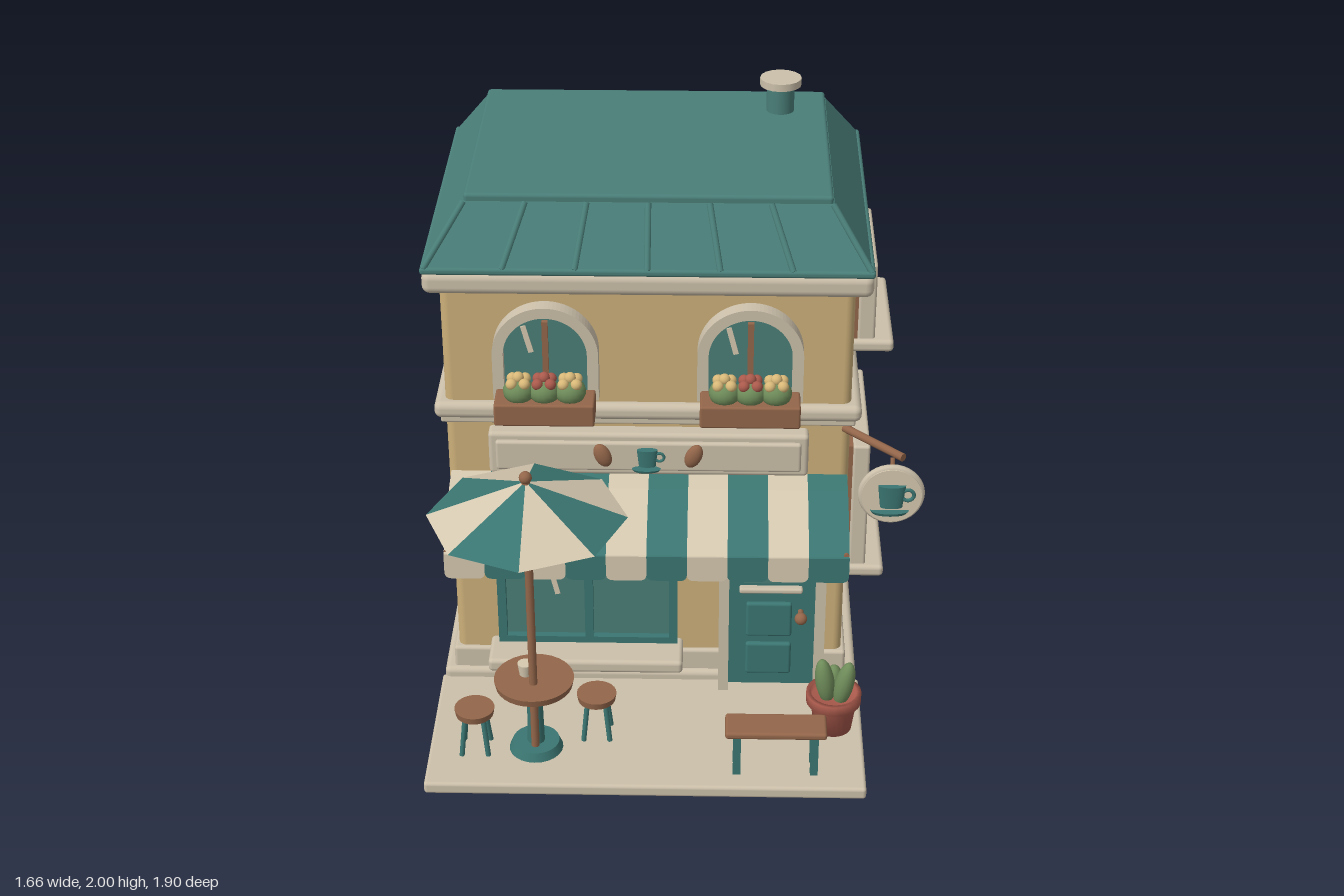
import * as THREE from 'three';
import { RoundedBoxGeometry } from 'three/addons/geometries/RoundedBoxGeometry.js';

const mat = (name, color) => {
  const m = new THREE.MeshStandardMaterial({ color });
  m.name = name;
  return m;
};
const wall = mat('wallOchre', 0xcdb07a), stone = mat('stone', 0xccc0aa), cream = mat('cream', 0xd6c9b0),
  teal = mat('teal', 0x4a7e78), deep = mat('deepTeal', 0x3b7672), brown = mat('wood', 0x93664a),
  clay = mat('terracotta', 0xaa5a4c), green = mat('leafGreen', 0x6f8c5a), yellow = mat('flowerYellow', 0xd8b878);
const canopyTeal = deep.clone();
canopyTeal.side = THREE.DoubleSide;
const canopyCream = cream.clone();
canopyCream.side = THREE.DoubleSide;

function add(parent, name, geo, material, x = 0, y = 0, z = 0) {
  const m = new THREE.Mesh(geo, material);
  m.name = name;
  m.position.set(x, y, z);
  parent.add(m);
  return m;
}
function group(parent, name, x = 0, y = 0, z = 0) {
  const g = new THREE.Group();
  g.name = name;
  g.position.set(x, y, z);
  parent.add(g);
  return g;
}
// box given by its min and max on each axis, with rounded edges when r > 0
function box(p, name, m, x0, x1, y0, y1, z0, z1, r = 0) {
  const s = [x1 - x0, y1 - y0, z1 - z0];
  const geo = r ? new RoundedBoxGeometry(...s, 3, r) : new THREE.BoxGeometry(...s);
  return add(p, name, geo, m, (x0 + x1) / 2, (y0 + y1) / 2, (z0 + z1) / 2);
}
const cyl = (p, name, m, rTop, rBot, y0, y1, x, z, n = 24) =>
  add(p, name, new THREE.CylinderGeometry(rTop, rBot, y1 - y0, n), m, x, (y0 + y1) / 2, z);
function rod(p, name, m, a, b, r) {
  const A = new THREE.Vector3(...a), B = new THREE.Vector3(...b), d = B.clone().sub(A);
  const o = add(p, name, new THREE.CylinderGeometry(r, r, d.length(), 10), m, ...A.clone().add(B).multiplyScalar(0.5));
  o.quaternion.setFromUnitVectors(new THREE.Vector3(0, 1, 0), d.normalize());
  return o;
}
function ball(p, name, m, x, y, z, rx, ry = rx, rz = rx) {
  const o = add(p, name, new THREE.SphereGeometry(1, 16, 12), m, x, y, z);
  o.scale.set(rx, ry, rz);
  return o;
}
const extrude = (shape, depth) => new THREE.ExtrudeGeometry(shape, { depth, bevelEnabled: false, curveSegments: 20 });
function arch(h, y0, spring) {
  const s = new THREE.Shape();
  s.moveTo(h, y0).lineTo(h, spring).absarc(0, spring, h, 0, Math.PI, false).lineTo(-h, y0);
  return s;
}
function archFrame(ho, hi, y0, spring) {
  const s = new THREE.Shape();
  s.moveTo(-ho, y0).lineTo(-ho, spring).absarc(0, spring, ho, Math.PI, 0, true);
  s.lineTo(ho, y0).lineTo(hi, y0).lineTo(hi, spring).absarc(0, spring, hi, 0, Math.PI, false).lineTo(-hi, y0);
  return s;
}
// slanted reflection plate on a pane
function glint(p, x, y, z, len, tilt) {
  add(p, 'glint', new THREE.BoxGeometry(0.018, len, 0.004), cream, x, y, z).rotation.z = tilt;
}
// upright cup with handle and saucer, facing the front
function cup(p, x, y, z, s) {
  const g = group(p, 'cupEmblem', x, y, z);
  cyl(g, 'cupBody', deep, 0.5 * s, 0.4 * s, -0.45 * s, 0.45 * s, 0, 0).scale.z = 0.4;
  add(g, 'cupHandle', new THREE.TorusGeometry(0.22 * s, 0.07 * s, 8, 18), deep, 0.58 * s, 0.05 * s, 0);
  cyl(g, 'saucer', deep, 0.7 * s, 0.6 * s, -0.72 * s, -0.6 * s, -0.05 * s, 0).scale.z = 0.4;
}
// four-pane window facing local +z, resting on y = 0
function sideWindow(p, y, z, w, h, split) {
  const g = group(p, 'sideWindow', 0.59, y, z), a = w / 2, t = 0.035;
  g.rotation.y = Math.PI / 2;
  box(g, 'backFrame', brown, -a, a, -0.02, h, -0.01, 0.03);
  box(g, 'glass', teal, -a + t, a - t, t, h - t, 0.02, 0.045);
  for (const s of [-1, 1]) box(g, 'frameSide', stone, s * (a - t / 2) - t / 2, s * (a - t / 2) + t / 2, 0, h, 0.03, 0.09, 0.01);
  box(g, 'frameTop', stone, -a, a, h - t, h, 0.03, 0.09, 0.01);
  box(g, 'mullion', stone, -0.011, 0.011, t, h - t, 0.04, 0.065);
  box(g, 'transom', stone, -a + t, a - t, split - 0.011, split + 0.011, 0.04, 0.065);
  box(g, 'sill', stone, -a - 0.02, a + 0.02, -0.035, 0.01, 0, 0.155, 0.016);
  glint(g, -a * 0.42, h * 0.56, 0.048, h * 0.42, 0.27);
}
function archedWindow(p, x) {
  const g = group(p, 'archedWindow', x, 0, 0.165);
  add(g, 'glass', extrude(arch(0.14, 1.2, 1.365), 0.02), teal);
  add(g, 'archFrame', extrude(archFrame(0.175, 0.138, 1.2, 1.365), 0.055), stone);
  box(g, 'mullion', brown, -0.01, 0.01, 1.2, 1.48, 0.01, 0.035);
  glint(g, -0.06, 1.41, 0.022, 0.1, 0.25);
  box(g, 'flowerBox', brown, -0.165, 0.165, 1.16, 1.24, 0.05, 0.165, 0.008);
  for (let i = -1; i <= 1; i++) {
    ball(g, 'bush', green, i * 0.085, 1.265, 0.108, 0.052, 0.045, 0.05);
    for (let k = 0; k < 5; k++) {
      const t = k * 1.57 + 0.78, r = k === 4 ? 0 : 0.03;
      ball(g, 'blossom', i ? yellow : clay, i * 0.085 + r * Math.cos(t), k === 4 ? 1.315 : 1.3, 0.108 + r * Math.sin(t), 0.019);
    }
  }
}

export function createModel() {
  const root = new THREE.Group();
  root.name = 'cornerCafe';

  // shell and bands
  box(root, 'walls', wall, -0.77, 0.59, 0.05, 1.64, -0.905, 0.165, 0.03);
  box(root, 'base', stone, -0.82, 0.645, 0, 0.08, -0.945, 0.2, 0.02);
  box(root, 'plinth', stone, -0.785, 0.605, 0.07, 0.16, -0.915, 0.18, 0.012);
  box(root, 'pavement', stone, -0.83, 0.655, 0, 0.045, 0.18, 0.8, 0.012);
  box(root, 'midBand', stone, -0.805, 0.625, 1.105, 1.165, -0.935, 0.195, 0.024);
  box(root, 'midBandLower', stone, -0.785, 0.605, 1.085, 1.115, -0.915, 0.18, 0.008);
  box(root, 'cornice', stone, -0.82, 0.645, 1.58, 1.66, -0.95, 0.215, 0.028);

  // roof: a box whose top corners are drawn inward
  const roof = new THREE.BoxGeometry(1.465, 0.19, 1.167).toNonIndexed();
  const pos = roof.attributes.position;
  for (let i = 0; i < pos.count; i++)
    if (pos.getY(i) > 0) pos.setXYZ(i, pos.getX(i) * 0.82, pos.getY(i), pos.getZ(i) * 0.775);
  roof.computeVertexNormals();
  add(root, 'roofSlopes', roof, teal, -0.0875, 1.76, -0.3665);
  box(root, 'eave', teal, -0.822, 0.647, 1.655, 1.68, -0.952, 0.219, 0.01);
  box(root, 'roofTop', teal, -0.685, 0.51, 1.842, 1.88, -0.82, 0.078, 0.012);
  for (let i = -3; i <= 3; i++) {
    const e = Math.abs(i) === 3;
    rod(root, 'roofSeam', teal, [-0.0875 + i * (e ? 0.241 : 0.235), 1.675, 0.21], [-0.0875 + i * 0.199, 1.855, 0.082], 0.011);
  }
  cyl(root, 'chimney', teal, 0.048, 0.048, 1.86, 1.98, 0.35, -0.645);
  cyl(root, 'chimneyCap', stone, 0.072, 0.072, 1.974, 2, 0.35, -0.645, 16);

  // windows
  sideWindow(root, 0.35, -0.367, 0.565, 0.5, 0.27);
  sideWindow(root, 1.24, -0.37, 0.46, 0.29, 0.165);
  archedWindow(root, -0.425);
  archedWindow(root, 0.25);

  // shop window
  const shop = group(root, 'shopWindow');
  box(shop, 'glass', teal, -0.61, 0, 0.2, 0.8, 0.15, 0.18);
  for (const x of [-0.605, -0.3, -0.005]) box(shop, 'post', deep, x - 0.015, x + 0.015, 0.2, 0.8, 0.16, 0.205);
  for (const y of [0.215, 0.79]) box(shop, 'rail', deep, -0.62, 0.01, y - 0.015, y + 0.015, 0.16, 0.205);
  box(shop, 'sill', stone, -0.65, 0.03, 0.155, 0.205, 0.16, 0.32, 0.015);
  glint(shop, -0.43, 0.49, 0.183, 0.19, 0.22);

  // door
  const door = group(root, 'door', 0.34, 0, 0.16);
  add(door, 'doorFrame', extrude(archFrame(0.185, 0.15, 0.04, 0.6), 0.1), stone);
  add(door, 'doorLeaf', extrude(arch(0.15, 0.05, 0.6), 0.06), deep);
  add(door, 'upperTrim', extrude(archFrame(0.115, 0.1, 0.48, 0.59), 0.075), deep);
  add(door, 'doorGlass', extrude(arch(0.1, 0.48, 0.59), 0.065), teal);
  box(door, 'pushRail', stone, -0.115, 0.105, 0.447, 0.468, 0.05, 0.085, 0.008);
  for (const [y0, y1] of [[0.1, 0.23], [0.26, 0.4]]) box(door, 'panel', deep, -0.09, 0.07, y0, y1, 0.05, 0.075, 0.01);
  ball(door, 'knob', brown, 0.1, 0.36, 0.105, 0.022);
  rod(door, 'knobStem', brown, [0.1, 0.36, 0.05], [0.1, 0.36, 0.1], 0.01);

  // fascia board with beans and cup
  box(root, 'fascia', stone, -0.625, 0.45, 0.91, 1.07, 0.15, 0.22, 0.015);
  box(root, 'fasciaPanel', stone, -0.6, 0.425, 0.935, 1.045, 0.2, 0.235, 0.01);
  for (const x of [-0.24, 0.065]) ball(root, 'bean', brown, x, 1, 0.24, 0.028, 0.045, 0.02).rotation.z = x < 0 ? 0.4 : -0.4;
  cup(root, -0.09, 1, 0.255, 0.07);

  // awning: ten curved stripes, each with a rounded valance
  const awning = group(root, 'awning');
  const top = [[0.17, 0.892], [0.25, 0.876], [0.33, 0.848], [0.41, 0.808], [0.488, 0.755]];
  const profile = new THREE.Shape();
  top.forEach(([z, y], i) => (i ? profile.lineTo(z, y) : profile.moveTo(z, y)));
  top.slice().reverse().forEach(([z, y]) => profile.lineTo(z, y - 0.014));
  const w = 0.1345, flap = new THREE.Shape(), h = w / 2;
  flap.moveTo(-h, 0.76).lineTo(-h, 0.69).quadraticCurveTo(-h, 0.665, -h + 0.025, 0.665);
  flap.lineTo(h - 0.025, 0.665).quadraticCurveTo(h, 0.665, h, 0.69).lineTo(h, 0.76);
  for (let i = 0; i < 10; i++) {
    const m = i % 2 ? canopyTeal : canopyCream, x = -0.76 + i * w;
    add(awning, 'stripe', extrude(profile, w), m, x + w, 0, 0).rotation.y = -Math.PI / 2;
    add(awning, 'valance', extrude(flap, 0.014), m, x + h, 0, 0.475);
  }
  for (const x of [-0.75, 0.575]) rod(awning, 'awningArm', brown, [x, 0.72, 0.16], [x, 0.762, 0.478], 0.01);
  rod(awning, 'awningBar', brown, [-0.76, 0.752, 0.472], [0.585, 0.752, 0.472], 0.008);

  // hanging round sign
  const sign = group(root, 'hangingSign');
  rod(sign, 'bracket', brown, [0.57, 1.07, 0.16], [0.755, 1.07, 0.35], 0.014);
  rod(sign, 'hanger', brown, [0.72, 1.07, 0.35], [0.72, 1.03, 0.37], 0.008);
  rod(sign, 'disc', cream, [0.72, 0.943, 0.35], [0.72, 0.943, 0.39], 0.1).geometry = new THREE.CylinderGeometry(0.1, 0.1, 0.035, 32);
  add(sign, 'discRim', new THREE.TorusGeometry(0.097, 0.014, 10, 36), stone, 0.72, 0.943, 0.37);
  cup(sign, 0.72, 0.945, 0.39, 0.092);

  // parasol with eight alternating panels
  const parasol = group(root, 'parasol', -0.465, 0, 0.622);
  cyl(parasol, 'pole', brown, 0.014, 0.014, 0.05, 1.13, 0, 0, 12);
  for (let i = 0; i < 8; i++) {
    const a = i * Math.PI / 4, b = a + Math.PI / 4, r = 0.325;
    const g = new THREE.BufferGeometry().setFromPoints([
      new THREE.Vector3(0, 1.13, 0),
      new THREE.Vector3(r * Math.cos(b), 1, r * Math.sin(b)),
      new THREE.Vector3(r * Math.cos(a), 1, r * Math.sin(a))]);
    g.computeVertexNormals();
    add(parasol, 'canopyPanel', g, i % 2 ? canopyCream : canopyTeal);
  }
  ball(parasol, 'finial', brown, 0, 1.145, 0, 0.021);

  // table, cup and stools
  const table = group(root, 'table', -0.465, 0, 0.59);
  cyl(table, 'tableTop', brown, 0.135, 0.13, 0.31, 0.335, 0, 0, 32);
  cyl(table, 'tableColumn', deep, 0.025, 0.03, 0.06, 0.31, 0, 0);
  cyl(table, 'tableFoot', deep, 0.08, 0.092, 0.045, 0.075, 0, 0);
  cyl(table, 'tableCup', cream, 0.026, 0.02, 0.335, 0.38, -0.03, -0.02);
  for (const [x, z] of [[-0.67, 0.6], [-0.26, 0.51]]) {
    const s = group(root, 'stool', x, 0, z);
    cyl(s, 'stoolSeat', brown, 0.068, 0.064, 0.19, 0.215, 0, 0);
    for (const i of [-1, 1]) for (const k of [-1, 1])
      rod(s, 'stoolLeg', deep, [i * 0.045, 0.045, k * 0.045], [i * 0.03, 0.195, k * 0.03], 0.009);
  }

  // bench
  const bench = group(root, 'bench');
  box(bench, 'benchSeat', brown, 0.18, 0.52, 0.2, 0.226, 0.625, 0.742, 0.01);
  for (const x of [0.22, 0.48]) for (const z of [0.65, 0.717])
    box(bench, 'benchLeg', deep, x - 0.013, x + 0.013, 0.04, 0.205, z - 0.013, z + 0.013);

  // potted cactus
  const plant = group(root, 'pottedCactus', 0.553, 0, 0.455);
  const pot = [[0, 0.045], [0.065, 0.045], [0.08, 0.155], [0.095, 0.155], [0.095, 0.192], [0.08, 0.192], [0.076, 0.17], [0, 0.17]];
  add(plant, 'pot', new THREE.LatheGeometry(pot.map(q => new THREE.Vector2(...q)), 24), clay);
  for (const [x, z, y, ht, t] of [[-0.032, 0, 0.235, 0.09, 0.15], [0.034, 0.01, 0.23, 0.09, -0.2], [0, -0.03, 0.21, 0.07, 0]])
    ball(plant, 'cactusLobe', green, x, y, z, 0.033, ht, 0.036).rotation.z = t;

  return root;
}
